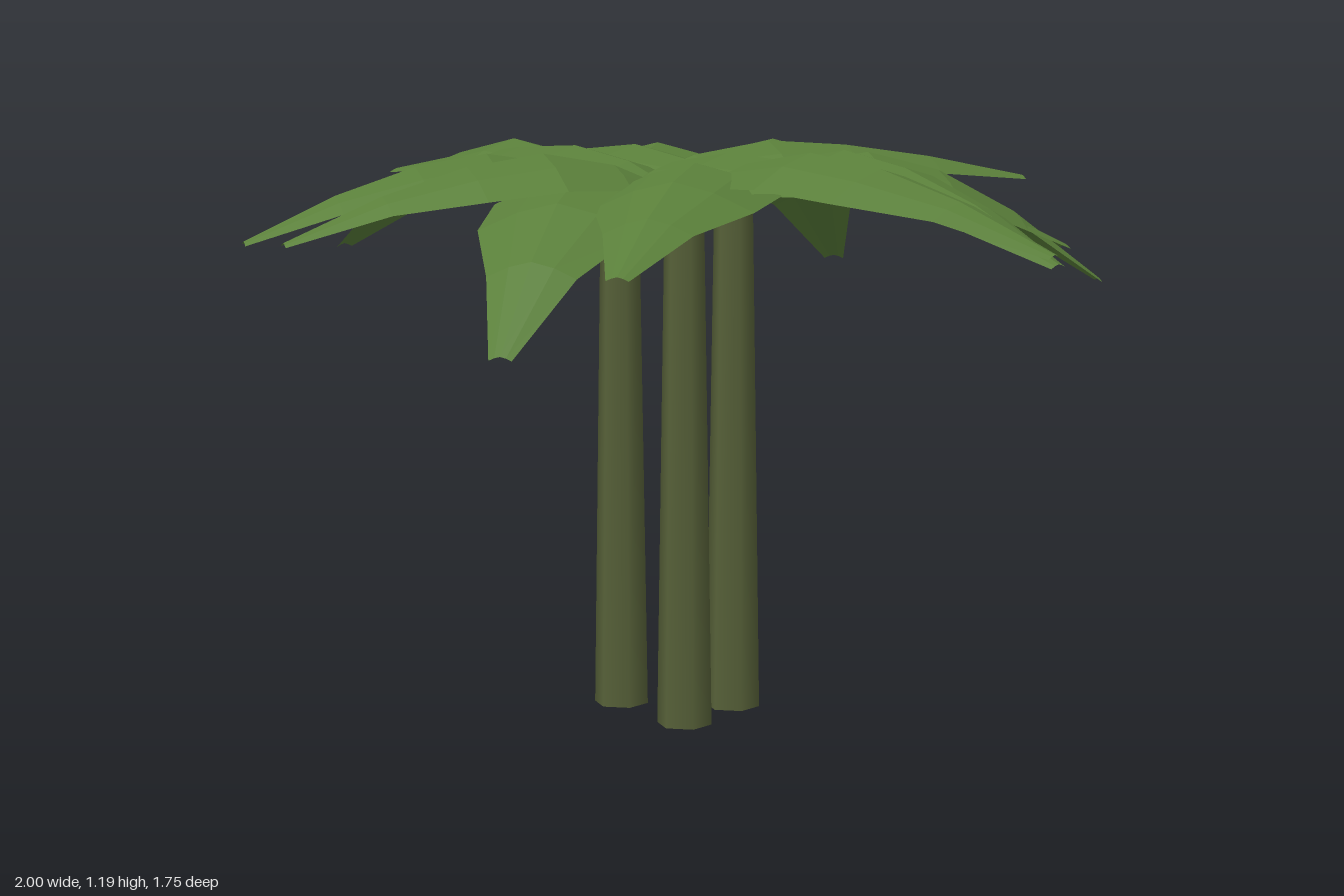
import * as THREE from 'three';

const barkMaterial = new THREE.MeshStandardMaterial({ color: 0x566038 });
const leafMaterial = new THREE.MeshStandardMaterial({ color: 0x5a7f3a, flatShading: true, side: THREE.DoubleSide });

// Frond stations: distance along the frond and half width
const STATIONS = [[0, 0.04], [0.18, 0.12], [0.36, 0.175], [0.55, 0.16], [0.76, 0.088], [1, 0.022]];
const ACROSS = [-1, -0.5, 0, 0.5, 1];
const PEAK_AT = 0.36;

// Each palm: trunk position and its frond tips [x, y, z, arch height]
const PALMS = [
  {
    x: -0.11, z: 0.083,
    tips: [
      [-1, 0.91, 0.03, 1.175], [0.7, 1.12, 0.09, 1.175],
      [-0.53, 0.97, -0.72, 1.16], [0.37, 1.095, -0.67, 1.18],
      [-0.53, 1.0, 0.74, 1.165], [0.3, 0.855, 0.86, 1.14],
    ],
  },
  {
    x: 0.11, z: 0.133,
    tips: [
      [1, 1.03, 0.12, 1.19], [-0.73, 1.1, 0.12, 1.175],
      [-0.3, 1.02, 0.84, 1.18], [0.52, 0.96, -0.62, 1.15],
    ],
  },
  {
    x: 0.085, z: -0.05,
    tips: [
      [0.94, 1.0, 0.02, 1.185], [-0.75, 1.04, -0.14, 1.165],
      [-0.3, 0.86, -0.87, 1.17], [0.55, 0.885, -0.7, 1.16],
      [0.46, 1.0, 0.72, 1.165],
    ],
  },
];

// Height of the midrib: rises to the arch, then droops to the tip
function ribHeight(t, baseY, peakY, tipY) {
  if (t <= PEAK_AT) return baseY + (peakY - baseY) * Math.sin((t / PEAK_AT) * Math.PI / 2);
  return peakY - (peakY - tipY) * Math.pow((t - PEAK_AT) / (1 - PEAK_AT), 1.6);
}

// A pointed blade that arches along its length and sags to both edges
function frondGeometry(base, [tipX, tipY, tipZ, peakY]) {
  const along = new THREE.Vector3(tipX - base.x, 0, tipZ - base.z);
  const side = new THREE.Vector3(along.z, 0, -along.x).normalize();
  const positions = [];
  const indices = [];
  STATIONS.forEach(([t, half], i) => {
    const y = ribHeight(t, base.y, peakY, tipY);
    ACROSS.forEach((s, j) => {
      positions.push(
        base.x + along.x * t + side.x * half * s,
        y - half * 0.35 * Math.pow(Math.abs(s), 1.5),
        base.z + along.z * t + side.z * half * s,
      );
      if (i && j) {
        const d = i * ACROSS.length + j;
        const c = d - 1;
        const b = d - ACROSS.length;
        const a = b - 1;
        indices.push(a, c, b, c, d, b);
      }
    });
  });
  const geometry = new THREE.BufferGeometry();
  geometry.setAttribute('position', new THREE.Float32BufferAttribute(positions, 3));
  geometry.setIndex(indices);
  geometry.computeVertexNormals();
  return geometry;
}

export function createModel() {
  const model = new THREE.Group();
  model.name = 'palmCluster';
  const trunkHeight = 1.1;

  for (const { x, z, tips } of PALMS) {
    const palm = new THREE.Group();
    palm.name = 'palm';

    // Six-sided tapering trunk
    const trunk = new THREE.Mesh(new THREE.CylinderGeometry(0.04, 0.057, trunkHeight, 6), barkMaterial);
    trunk.name = 'trunk';
    trunk.position.set(x, trunkHeight / 2, z);
    palm.add(trunk);

    // Crown of fronds
    const crown = new THREE.Group();
    crown.name = 'crown';
    const base = new THREE.Vector3(x, trunkHeight - 0.01, z);
    for (const tip of tips) {
      const frond = new THREE.Mesh(frondGeometry(base, tip), leafMaterial);
      frond.name = 'frond';
      crown.add(frond);
    }
    palm.add(crown);
    model.add(palm);
  }
  return model;
}
